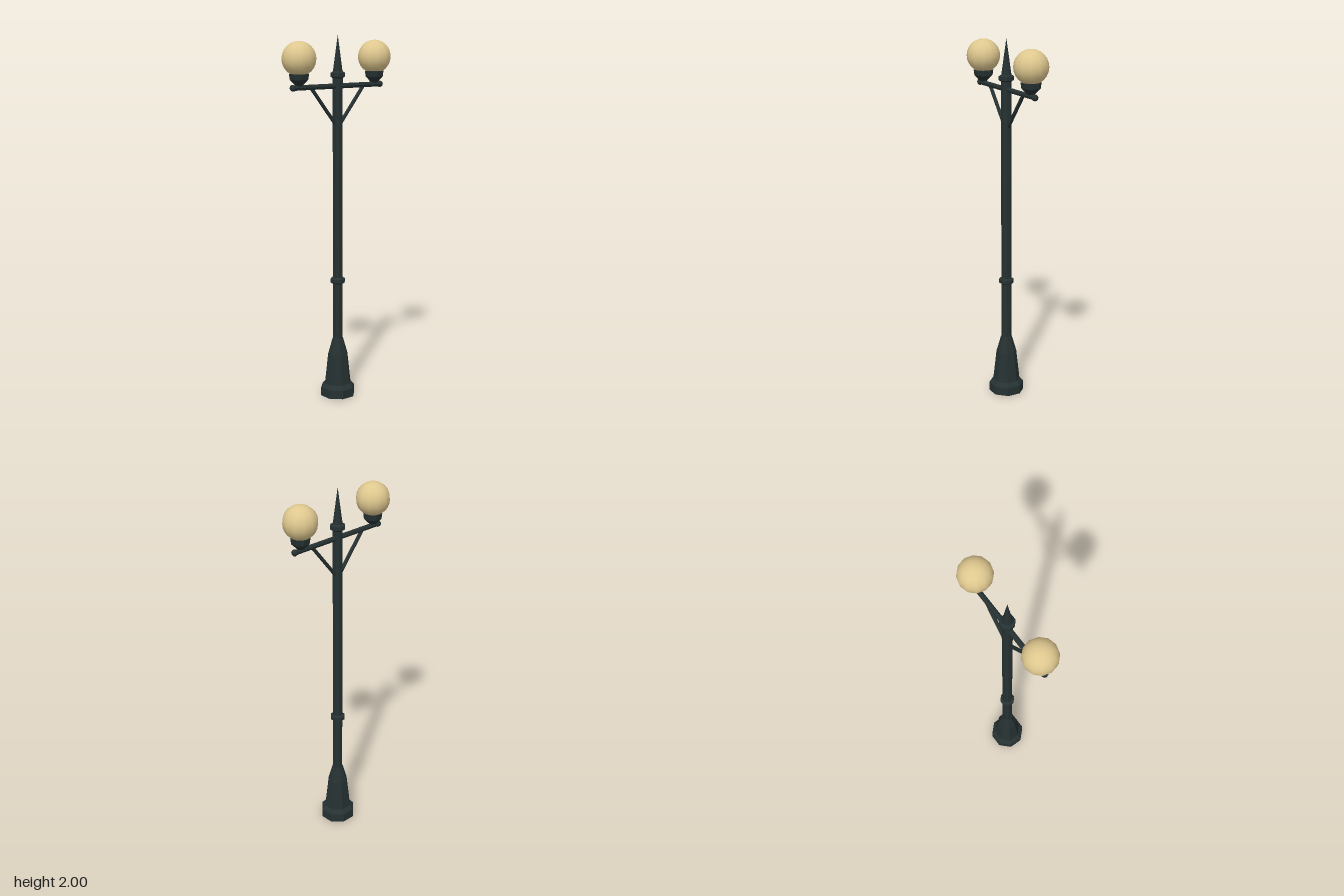
import * as THREE from 'three';

const iron = new THREE.MeshStandardMaterial({ color: 0x263132 });
iron.name = 'dark iron';
iron.flatShading = true;
const glass = new THREE.MeshStandardMaterial({ color: 0xdfc88f });
glass.name = 'warm glass';

const OCT = 1 / Math.cos(Math.PI / 8); // apothem to corner radius

export function createModel() {
  const group = new THREE.Group();
  group.name = 'streetLamp';

  const add = (name, geometry, material = iron, x = 0, y = 0, z = 0) => {
    const mesh = new THREE.Mesh(geometry, material);
    mesh.name = name;
    mesh.position.set(x, y, z);
    group.add(mesh);
    return mesh;
  };

  // Octagonal turned part; points are [apothem, height], bottom to top
  const turned = (name, points, x = 0) => {
    const profile = points.map(([r, y]) => new THREE.Vector2(r * OCT, y));
    return add(name, new THREE.LatheGeometry(profile, 8, Math.PI / 8), iron, x);
  };

  // Round bar between two points
  const bar = (name, from, to, radius) => {
    const a = new THREE.Vector3(...from), b = new THREE.Vector3(...to);
    const dir = b.clone().sub(a);
    const mesh = add(name, new THREE.CylinderGeometry(radius, radius, dir.length(), 8));
    mesh.position.copy(a).add(b).multiplyScalar(0.5);
    mesh.quaternion.setFromUnitVectors(new THREE.Vector3(0, 1, 0), dir.normalize());
    return mesh;
  };

  // Stepped foot and tapering pedestal
  turned('foot', [[0, 0], [0.09, 0], [0.09, 0.048], [0.07, 0.07], [0, 0.07]]);
  turned('pedestal', [[0.07, 0.065], [0.052, 0.24], [0.028, 0.33], [0, 0.335]]);

  // Pole with two collars and a pointed finial
  turned('pole', [[0.026, 0.3], [0.026, 1.79]]);
  for (const [name, y] of [['lowerCollar', 0.66], ['upperCollar', 1.79]]) {
    turned(name, [[0.026, y - 0.018], [0.038, y - 0.01], [0.038, y + 0.01], [0.026, y + 0.018], [0, y + 0.018]]);
  }
  turned('finial', [[0.026, 1.8], [0.0, 2.0]]);

  // Cross arm
  bar('crossArm', [-0.3, 1.73, 0], [0.3, 1.73, 0], 0.014);

  for (const side of [-1, 1]) {
    const label = side > 0 ? 'left' : 'right';
    const x = side * 0.26;
    add(label + 'ArmKnob', new THREE.SphereGeometry(0.018, 8, 6), iron, side * 0.3, 1.73);
    bar(label + 'Brace', [side * 0.015, 1.525, 0], [side * 0.18, 1.725, 0], 0.01);
    // Cup and globe
    turned(label + 'Cup', [[0, 1.735], [0.016, 1.74], [0.046, 1.772], [0.05, 1.802], [0, 1.805]], x);
    add(label + 'Globe', new THREE.SphereGeometry(0.0915, 12, 12), glass, x, 1.88);
  }
  return group;
}
